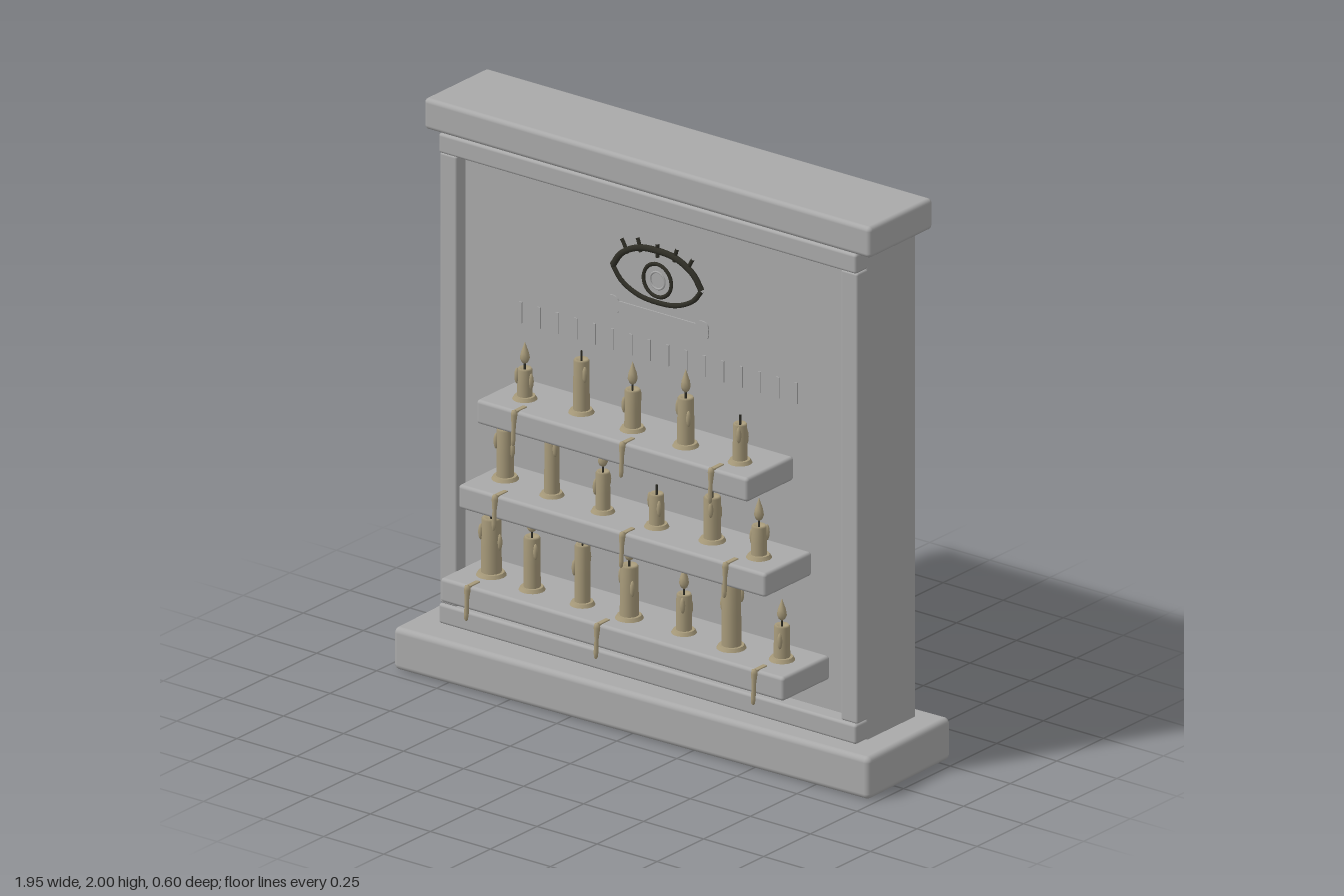
import * as THREE from 'three';
import { RoundedBoxGeometry } from 'three/addons/geometries/RoundedBoxGeometry.js';

const mat = (name, color) => {
  const m = new THREE.MeshStandardMaterial({ color });
  m.name = name;
  return m;
};

export function createModel() {
  const stone = mat('stone', 0xa9a9a9);
  const wax = mat('wax', 0xa79a7a);
  const dark = mat('charcoal', 0x2f2e26);
  const root = new THREE.Group();
  root.name = 'candleShrine';

  const add = (parent, name, geo, material, x = 0, y = 0, z = 0) => {
    const m = new THREE.Mesh(geo, material);
    m.name = name;
    m.position.set(x, y, z);
    parent.add(m);
    return m;
  };
  // Rounded block given by its extents
  const block = (name, x0, x1, y0, y1, z0, z1, r) =>
    add(root, name, new RoundedBoxGeometry(x1 - x0, y1 - y0, z1 - z0, 3, r), stone,
      (x0 + x1) / 2, (y0 + y1) / 2, (z0 + z1) / 2);

  // Stone slab, cap, slightly turned plinth and raised frame
  block('slab', -0.87, 0.87, 0.14, 1.9, -0.235, 0.03, 0.008);
  block('cap', -0.93, 0.93, 1.89, 2, -0.25, 0.09, 0.016);
  block('plinth', -0.972, 0.972, 0, 0.15, -0.275, 0.183, 0.02).rotation.y = 0.026;
  block('topRail', -0.87, 0.87, 1.82, 1.89, 0.02, 0.088, 0.01);
  block('bottomRail', -0.87, 0.87, 0.15, 0.22, 0.02, 0.088, 0.01);
  for (const s of [-1, 1])
    block('frameStile', s * 0.835 - 0.035, s * 0.835 + 0.035, 0.22, 1.82, 0.02, 0.08, 0.008);

  // Eye emblem
  const eye = new THREE.Group();
  eye.name = 'eye';
  eye.position.set(0, 1.575, 0.032);
  root.add(eye);
  const tube = (pts, r, n = 24) =>
    new THREE.TubeGeometry(new THREE.CatmullRomCurve3(pts.map(p => new THREE.Vector3(...p))), n, r, 6);
  const lid = s => [[-0.185, 0, 0], [-0.15, s * 0.05, 0], [-0.08, s * 0.088, 0], [0, s * 0.097, 0],
    [0.08, s * 0.088, 0], [0.15, s * 0.05, 0], [0.185, 0, 0]];
  add(eye, 'upperLid', tube(lid(1), 0.012), dark);
  add(eye, 'lowerLid', tube(lid(-0.9), 0.009), dark);
  add(eye, 'iris', new THREE.TorusGeometry(0.058, 0.007, 6, 32), dark, 0, -0.01, 0);
  add(eye, 'pupil', new THREE.TorusGeometry(0.03, 0.004, 6, 24), stone, 0, -0.01, 0);
  for (const [x, y] of [[-0.135, 0.08], [-0.075, 0.1], [0, 0.098], [0.075, 0.1], [0.135, 0.08]])
    add(eye, 'lash', tube([[x * 0.93, y - 0.025, 0], [x, y, 0], [x * 1.1, y + 0.023, 0]], 0.007, 4), dark);

  // Bone relief under the eye
  const b = new THREE.Shape();
  b.moveTo(-0.16, -0.018);
  b.lineTo(0.16, -0.018);
  b.bezierCurveTo(0.175, -0.045, 0.225, -0.035, 0.212, 0);
  b.bezierCurveTo(0.225, 0.035, 0.175, 0.045, 0.16, 0.018);
  b.lineTo(-0.16, 0.018);
  b.bezierCurveTo(-0.175, 0.045, -0.225, 0.035, -0.212, 0);
  b.bezierCurveTo(-0.225, -0.035, -0.175, -0.045, -0.16, -0.018);
  add(root, 'boneRelief', new THREE.ExtrudeGeometry(b, { depth: 0.006, bevelEnabled: false }), stone, 0, 1.435, 0.029);

  // Row of plain notches
  for (let i = 0; i < 16; i++)
    add(root, 'notch', new THREE.BoxGeometry(0.012, 0.075, 0.006), stone, -0.57 + i * 0.0765, 1.31, 0.031);

  // Candle with puddle, side drip, wick and optional flame
  const v2 = pts => pts.map(p => new THREE.Vector2(...p));
  const flameGeo = new THREE.LatheGeometry(
    v2([[0, 0], [0.011, 0.1], [0.017, 0.28], [0.014, 0.5], [0.006, 0.78], [0, 1]]), 10);
  const candle = (x, y, z, h, r, flame, i) => {
    const g = new THREE.Group();
    g.name = 'candle';
    g.position.set(x, y, z);
    g.rotation.y = i * 1.9;
    root.add(g);
    add(g, 'puddle', new THREE.CylinderGeometry(r + 0.009, r + 0.016, 0.012, 16), wax, 0, 0.006, 0);
    add(g, 'waxBody', new THREE.LatheGeometry(
      v2([[r, 0], [r * 0.97, h * 0.5], [r * 0.95, h - 0.006], [r * 0.8, h], [r * 0.5, h - 0.005], [0, h - 0.008]]), 16), wax);
    for (const k of [0, 1]) {
      const d = add(g, 'sideDrip', new THREE.SphereGeometry(0.009, 8, 6), wax,
        r * Math.cos(k * 2.4), h * (0.6 + 0.15 * k), r * Math.sin(k * 2.4));
      d.scale.y = 3.2;
    }
    add(g, 'wick', new THREE.CylinderGeometry(0.004, 0.004, 0.04, 6), dark, 0, h + 0.008, 0);
    if (flame) add(g, 'flame', flameGeo, wax, 0, h + 0.012, 0).scale.y = flame;
  };

  // Shelves: candles are [x, z, height, radius, flame height]; drips are x positions
  const shelves = [
    { y: 1.08, w: 0.565, drips: [-0.4, 0.05, 0.42], candles: [
      [-0.445, 0.17, 0.11, 0.026, 0.08], [-0.225, 0.15, 0.19, 0.028, 0], [0, 0.165, 0.145, 0.028, 0.085],
      [0.225, 0.17, 0.175, 0.029, 0.085], [0.455, 0.175, 0.14, 0.025, 0]] },
    { y: 0.76, w: 0.64, drips: [-0.48, 0.05, 0.48], candles: [
      [-0.55, 0.14, 0.18, 0.03, 0], [-0.34, 0.16, 0.23, 0.026, 0], [-0.12, 0.17, 0.145, 0.025, 0.075],
      [0.1, 0.165, 0.12, 0.026, 0], [0.32, 0.15, 0.16, 0.03, 0.065], [0.53, 0.17, 0.115, 0.027, 0.085]] },
    { y: 0.41, w: 0.715, drips: [-0.595, -0.055, 0.6], candles: [
      [-0.6, 0.15, 0.205, 0.035, 0.055], [-0.415, 0.17, 0.19, 0.029, 0.06], [-0.205, 0.17, 0.215, 0.027, 0],
      [-0.01, 0.17, 0.19, 0.032, 0.065], [0.21, 0.16, 0.14, 0.027, 0.085], [0.415, 0.17, 0.25, 0.034, 0],
      [0.61, 0.15, 0.125, 0.028, 0.08]] },
  ];
  const dripGeo = new THREE.LatheGeometry(
    v2([[0, -0.12], [0.006, -0.115], [0.008, -0.095], [0.007, -0.05], [0.011, -0.01], [0.009, 0.004], [0, 0.006]]), 8);
  for (const s of shelves) {
    block('shelf', -s.w, s.w, s.y - 0.085, s.y, 0.025, 0.278, 0.012);
    s.candles.forEach(([x, z, h, r, f], i) => candle(x, s.y, z, h, r, f, i));
    for (const x of s.drips) {
      add(root, 'shelfDrip', dripGeo, wax, x, s.y, 0.285).rotation.x = -0.06;
      add(root, 'dripRun', new RoundedBoxGeometry(0.018, 0.008, 0.06, 2, 0.003), wax, x, s.y, 0.256);
    }
  }
  return root;
}
